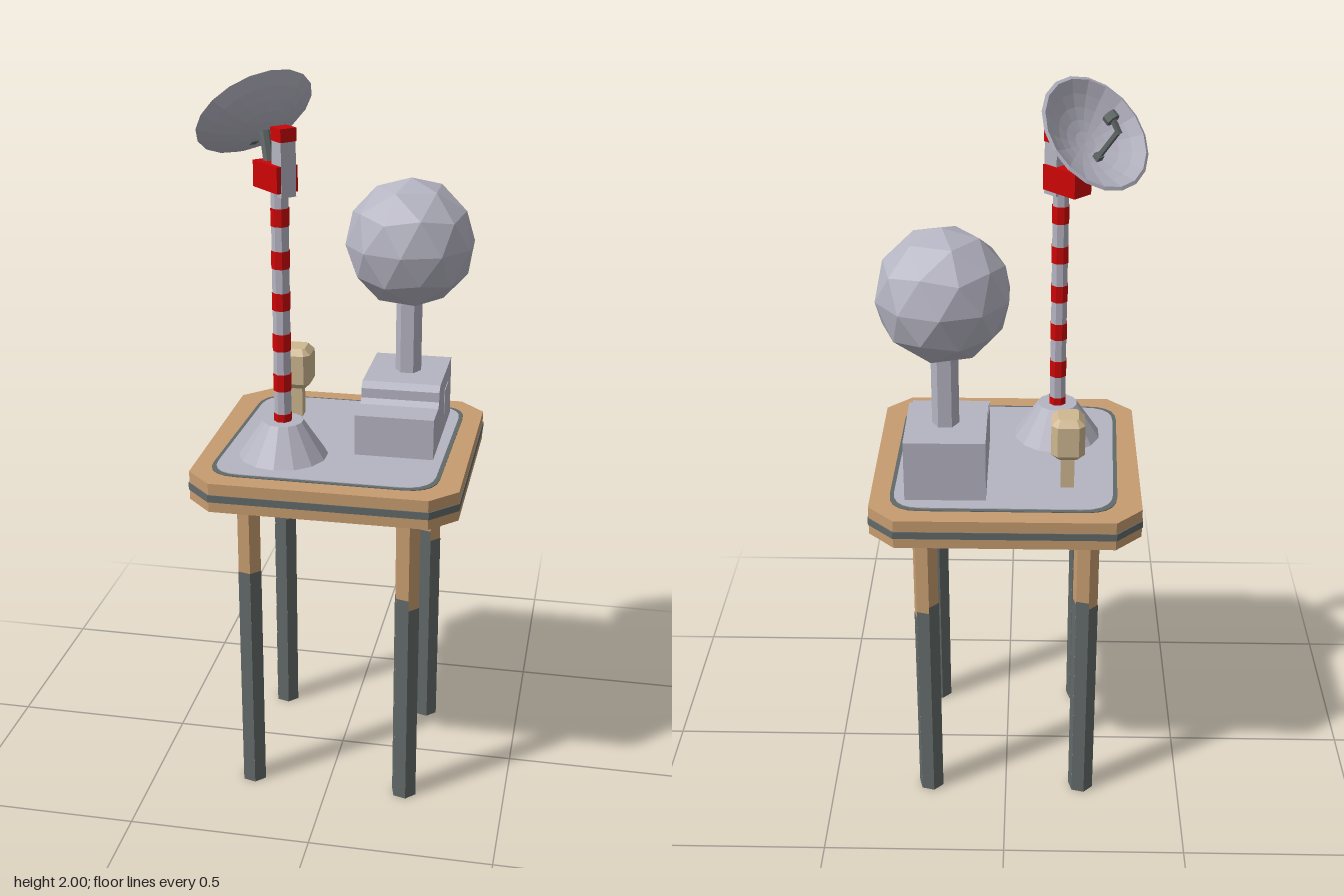
import * as THREE from 'three';

const paint = (name, color) => {
  const m = new THREE.MeshStandardMaterial({ color, flatShading: true });
  m.name = name;
  return m;
};

export function createModel() {
  const model = new THREE.Group();
  const grey = paint('pale grey', 0xb5b4c2), wood = paint('wood', 0xc79c70);
  const dark = paint('dark grey', 0x626a69), red = paint('red', 0xcc0505);
  const beige = paint('beige', 0xcfb891);

  const add = (name, geometry, material, x = 0, y = 0, z = 0, turn = 0, parent = model) => {
    const mesh = new THREE.Mesh(geometry, material);
    mesh.name = name;
    mesh.position.set(x, y, z);
    mesh.rotation.y = turn;
    parent.add(mesh);
    return mesh;
  };
  const box = (w, h, d) => new THREE.BoxGeometry(w, h, d);
  const prism = (rTop, rBottom, h, sides) => new THREE.CylinderGeometry(rTop, rBottom, h, sides);

  // Rectangle with cut corners, half sizes w and d, cut c
  const cutRect = (w, d, c) => new THREE.Shape([
    [w, d - c], [w - c, d], [c - w, d], [-w, d - c],
    [-w, c - d], [c - w, -d], [w - c, -d], [w, c - d],
  ].map(p => new THREE.Vector2(...p)));
  // Slab rising from y = 0
  const slab = (shape, depth, bevel = 0) => new THREE.ExtrudeGeometry(shape, {
    depth: depth - 2 * bevel, bevelEnabled: bevel > 0, bevelSize: bevel,
    bevelThickness: bevel, bevelSegments: 1, curveSegments: 5,
  }).rotateX(-Math.PI / 2).translate(0, bevel, 0);

  // Deck with a painted band around its side
  add('deck', slab(cutRect(0.358, 0.358, 0.07), 0.08), wood, 0, 0.898, 0);
  add('deckBand', slab(cutRect(0.36, 0.36, 0.07), 0.02), dark, 0, 0.926, 0);

  // Slightly uneven painted floor with a dark outline
  const floorShape = inset => {
    const corners = [[-0.312, -0.303], [0.298, -0.305], [0.308, 0.305], [-0.292, 0.307]]
      .map(([x, y]) => new THREE.Vector2(x - Math.sign(x) * inset, y - Math.sign(y) * inset));
    const s = new THREE.Shape();
    corners.forEach((c, i) => {
      const a = c.clone().lerp(corners[(i + 3) % 4], 0.14);
      const b = c.clone().lerp(corners[(i + 1) % 4], 0.14);
      if (i) s.lineTo(a.x, a.y); else s.moveTo(a.x, a.y);
      s.quadraticCurveTo(c.x, c.y, b.x, b.y);
    });
    s.closePath();
    return s;
  };
  add('floorOutline', slab(floorShape(0), 0.002), dark, 0, 0.978, 0);
  add('floor', slab(floorShape(0.011), 0.004), grey, 0, 0.978, 0);

  // Six-sided legs, painted dark to an uneven height on each face
  const r = 0.035, apothem = r * Math.cos(Math.PI / 6);
  const legs = [
    [-1, 1, [0.67, 0.64, 0.62, 0.65, 0.59, 0.67]],
    [1, 1, [0.6, 0.55, 0.56, 0.62, 0.63, 0.63]],
    [1, -1, [0.6, 0.6, 0.62, 0.64, 0.65, 0.63]],
    [-1, -1, [0.63, 0.65, 0.66, 0.64, 0.62, 0.64]],
  ];
  for (const [sx, sz, heights] of legs) {
    const leg = new THREE.Group();
    leg.name = 'leg';
    leg.position.set(sx * 0.218, 0, sz * 0.218);
    model.add(leg);
    add('legPost', prism(r, r, 0.9, 6), wood, 0, 0.45, 0, Math.PI / 12, leg);
    heights.forEach((h, k) => {
      const plate = new THREE.PlaneGeometry(r + 0.001, h).translate(0, h / 2, apothem + 0.001);
      add('legPaint', plate, dark, 0, 0, 0, Math.PI / 4 + k * Math.PI / 3, leg);
    });
  }

  // Stepped hut, drawn as a side profile (z, y)
  const profile = new THREE.Shape([
    [0.104, 0.978], [0.104, 1.095], [0.015, 1.095], [0, 1.108], [0, 1.135],
    [-0.02, 1.15], [-0.255, 1.15], [-0.255, 0.978],
  ].map(p => new THREE.Vector2(...p)));
  const hut = new THREE.ExtrudeGeometry(profile, { depth: 0.214, bevelEnabled: false });
  add('hut', hut.rotateY(-Math.PI / 2).translate(0.214, 0, 0), grey, 0.051, 0, 0);
  add('hutHatch', box(0.004, 0.07, 0.075), grey, 0.265, 1.067, -0.148);

  // Faceted dome on a six-sided post
  add('domePost', prism(0.036, 0.036, 0.24, 6), grey, 0.16, 1.26, -0.133, Math.PI / 6);
  const dome = new THREE.IcosahedronGeometry(0.177, 1);
  dome.rotateZ(Math.atan2(2, 1 + Math.sqrt(5)));
  add('dome', dome, grey, 0.16, 1.513, -0.133);

  // Small lamp box
  add('lampPost', box(0.036, 0.11, 0.04), beige, -0.163, 1.03, -0.161);
  add('lampBox', slab(cutRect(0.027, 0.032, 0.006), 0.118, 0.017), beige, -0.163, 1.072, -0.161);

  // Striped mast on a cone
  const mx = -0.138, mz = 0.132;
  add('mastBase', prism(0.055, 0.123, 0.102, 14), grey, mx, 1.029, mz);
  add('mast', prism(0.023, 0.023, 0.7, 8), grey, mx, 1.4, mz, Math.PI / 8);
  for (let i = 0; i < 6; i++)
    add('mastStripe', prism(0.0245, 0.0245, 0.047, 8), red, mx, 1.078 + i * 0.1115, mz, Math.PI / 8);

  // Mast head, turned towards the dish
  const turn = Math.PI / 4;
  add('collar', box(0.062, 0.068, 0.115), red, -0.153, 1.736, 0.113, turn);
  add('headPost', box(0.044, 0.16, 0.044), grey, -0.125, 1.77, 0.136, turn);
  add('headCap', box(0.047, 0.034, 0.047), red, -0.125, 1.847, 0.136, turn);

  // Tilted dish: thin closed shell turned around its axis
  const tilt = 0.725, a = 0.162, depth = 0.06, steps = 5;
  const shell = [];
  for (let i = 0; i <= steps; i++) {
    const t = i / steps;
    shell.push(new THREE.Vector2(a * t, -depth * (1 - t * t)));
  }
  for (let i = steps; i >= 0; i--) {
    const t = i / steps;
    shell.push(new THREE.Vector2((a - 0.009) * t, 0.003 - (depth - 0.007) * (1 - t * t)));
  }
  const axis = new THREE.Vector3(
    -Math.cos(tilt) * Math.SQRT1_2, Math.sin(tilt), -Math.cos(tilt) * Math.SQRT1_2);
  const dish = add('dish', new THREE.LatheGeometry(shell, 18), grey, -0.222, 1.88, 0.042);
  dish.quaternion.setFromUnitVectors(new THREE.Vector3(0, 1, 0), axis);

  // Rods between two points
  const rod = (name, from, to, radius, sides) => {
    const p = new THREE.Vector3(...from), q = new THREE.Vector3(...to);
    const d = q.clone().sub(p);
    const m = add(name, prism(radius, radius, d.length(), sides), dark);
    m.position.copy(p).add(q).multiplyScalar(0.5);
    m.quaternion.setFromUnitVectors(new THREE.Vector3(0, 1, 0), d.normalize());
  };
  rod('dishBracket', [-0.172, 1.755, 0.095], [-0.188, 1.842, 0.076], 0.014, 6);
  rod('feedFoot', [-0.222, 1.803, 0.05], [-0.232, 1.825, 0.04], 0.014, 4);
  rod('feedArm', [-0.226, 1.81, 0.05], [-0.276, 1.9, -0.006], 0.008, 4);
  rod('feedHook', [-0.278, 1.893, -0.008], [-0.26, 1.93, 0], 0.008, 4);
  rod('feedHead', [-0.262, 1.925, -0.003], [-0.25, 1.938, 0.007], 0.019, 8);

  return model;
}
